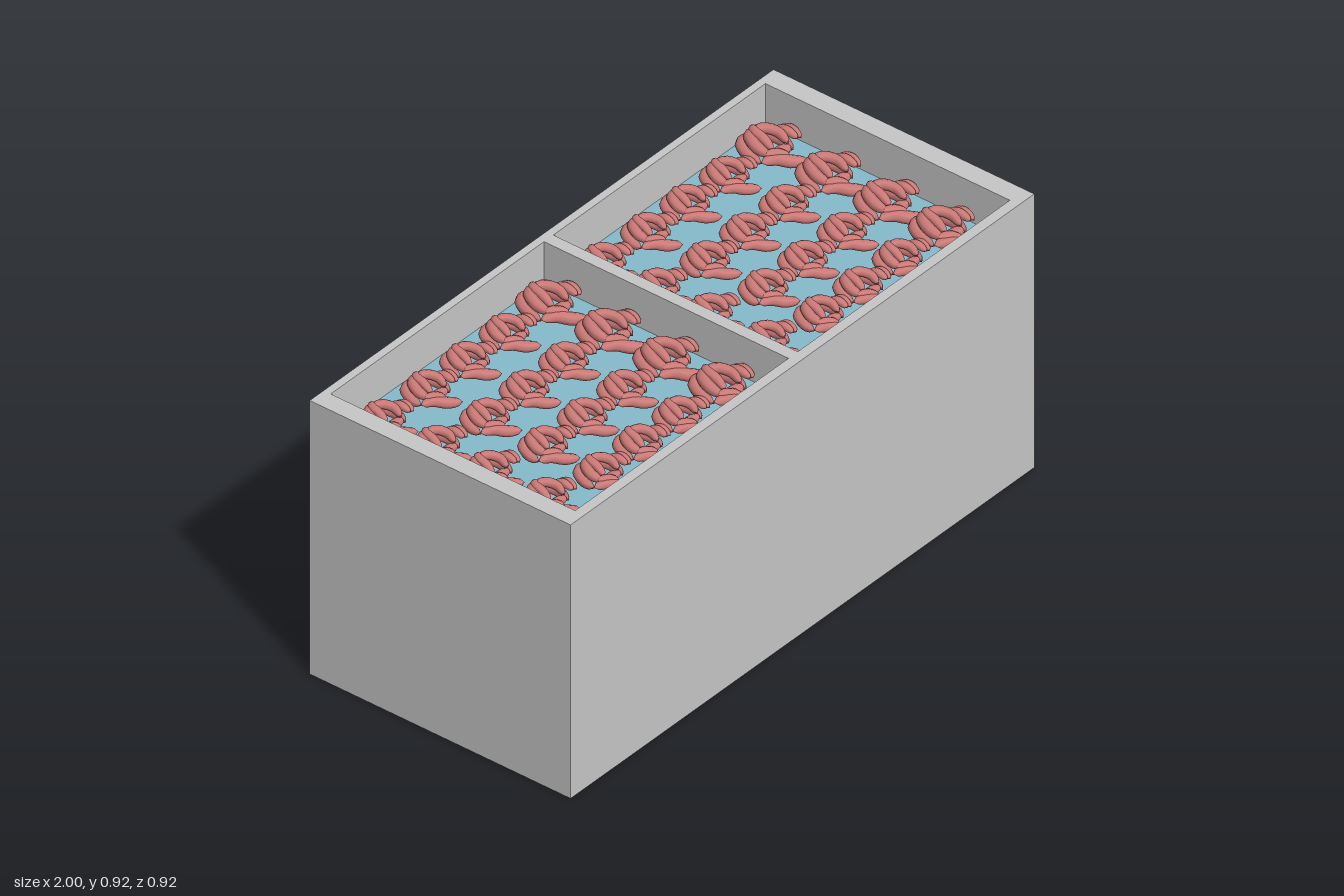
import * as THREE from 'three';
import { mergeGeometries } from 'three/addons/utils/BufferGeometryUtils.js';

const PX = 0.00535; // small design unit for the shrimp

// Tapered sausage along a smooth curve through [x, y, z] points
function sausage(points, radius) {
  const curve = new THREE.CatmullRomCurve3(points.map(p => new THREE.Vector3(...p)));
  const rings = 10, sides = 8;
  const geo = new THREE.TubeGeometry(curve, rings, radius, sides, false);
  const pos = geo.attributes.position;
  const v = new THREE.Vector3();
  for (let i = 0; i <= rings; i++) {
    const t = i / rings;
    const centre = curve.getPointAt(t);
    const k = Math.sqrt(Math.max(0, 1 - Math.pow(Math.abs(2 * t - 1), 2.5)));
    for (let j = 0; j <= sides; j++) {
      const n = i * (sides + 1) + j;
      v.fromBufferAttribute(pos, n).sub(centre).multiplyScalar(k).add(centre);
      pos.setXYZ(n, v.x, v.y, v.z);
    }
  }
  return geo;
}

// One curled shrimp lying flat: fanned body segments, head arm and tail fan
function shrimpGeometry() {
  const parts = [
    sausage([[3, 6, -10], [-6, 6, -9], [-10, 5, -2], [-10, 4, 5]], 3.1),
    sausage([[3, 9, -9], [-4, 10, -6], [-7, 9, 0], [-6, 7, 7]], 3.1),
    sausage([[3, 11, -9], [-1, 12, -6], [-2, 11, 0], [-3, 8, 6]], 2.6),
    sausage([[0, 6, -10], [7, 6, -8], [10, 5, 0], [8, 4, 9]], 3.1),
    sausage([[0, 9, -9], [6, 10, -6], [9, 9, 0], [7, 7, 7]], 2.6),
    sausage([[-6, 5, 6], [0, 6, 7], [8, 5, 7]], 2.8),
    sausage([[-11, 5, 5], [-5, 6, 9], [-1, 5, 14], [6, 4, 19]], 3.2),
    sausage([[-8, 8, 5], [-3, 8, 9], [0, 7, 13]], 2.4),
    sausage([[15.5, 5, -6], [15, 7, 0], [15.5, 5, 6]], 2.2),
    sausage([[18, 4, -6], [18.5, 6, 0], [18, 4, 6]], 2.2),
  ];
  return mergeGeometries(parts).scale(PX, PX, PX);
}

export function createModel() {
  const group = new THREE.Group();
  const stone = new THREE.MeshStandardMaterial({ name: 'greyTank', color: 0xc8c8c8 });
  const blue = new THREE.MeshStandardMaterial({ name: 'blueWater', color: 0x87bccd });
  const pink = new THREE.MeshStandardMaterial({ name: 'pinkShrimp', color: 0xcd7b78 });

  const add = (name, geo, mat, x, y, z, parent = group) => {
    const mesh = new THREE.Mesh(geo, mat);
    mesh.name = name;
    mesh.position.set(x, y, z);
    parent.add(mesh);
    return mesh;
  };

  // Tank walls with two open compartments
  const rect = (path, x0, y0, x1, y1) =>
    path.moveTo(x0, y0).lineTo(x1, y0).lineTo(x1, y1).lineTo(x0, y1).closePath();
  const outline = new THREE.Shape();
  rect(outline, -1, -0.46, 1, 0.46);
  const bays = [[-0.94, -0.02], [0.02, 0.935]];
  for (const [x0, x1] of bays) {
    const hole = new THREE.Path();
    rect(hole, x0, -0.427, x1, 0.435);
    outline.holes.push(hole);
  }
  const walls = new THREE.ExtrudeGeometry(outline, { depth: 0.92, bevelEnabled: false });
  walls.rotateX(-Math.PI / 2);
  add('tankWalls', walls, stone, 0, 0, 0);

  // Floor and water in each compartment
  const waterTop = 0.785, floor = 0.04;
  for (const [x0, x1] of bays) {
    const w = x1 - x0, x = (x0 + x1) / 2;
    add('tankFloor', new THREE.BoxGeometry(w, floor, 0.862), stone, x, floor / 2, -0.004);
    add('water', new THREE.BoxGeometry(w, waterTop - floor, 0.862), blue, x, (waterTop + floor) / 2, -0.004);
  }

  // Rows of shrimp floating on the water, the last of each row larger
  const shrimp = shrimpGeometry();
  const columns = [-0.84, -0.655, -0.485, -0.315, -0.14];
  const firstRows = [-0.335, -0.145, 0.04, 0.24];
  const otherRows = [-0.33, -0.12, 0.085, 0.28];
  for (const shift of [0, 0.95]) {
    const shoal = new THREE.Group();
    shoal.name = 'shoal';
    group.add(shoal);
    columns.forEach((x, c) => {
      const rows = c === 0 ? firstRows : otherRows;
      for (const z of rows) {
        const mesh = add('shrimp', shrimp, pink, x + shift, waterTop + 0.005, z, shoal);
        if (c === 4) mesh.scale.set(1.08, 1.15, 1.22);
      }
    });
  }
  return group;
}
